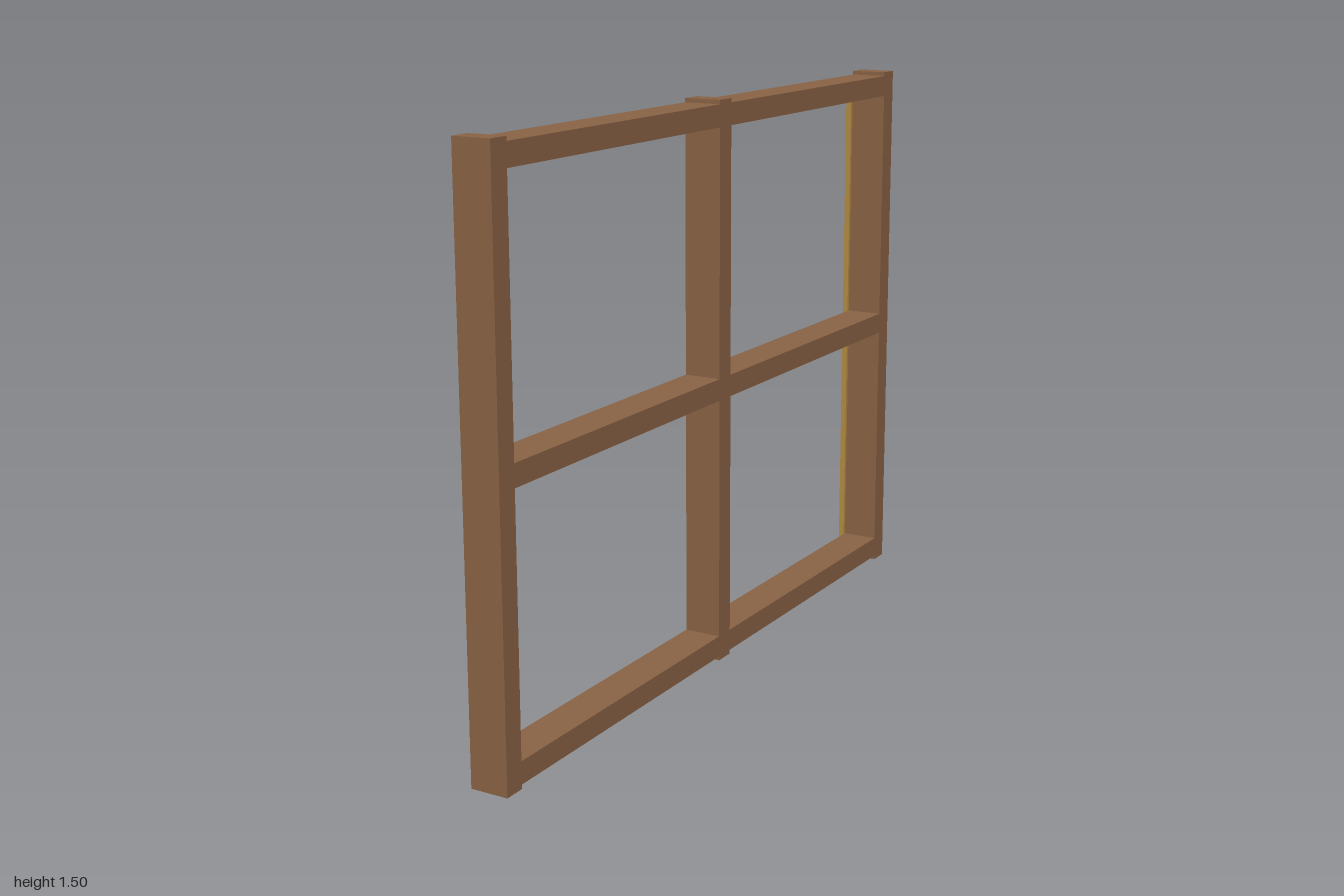
import * as THREE from 'three';

export function createModel() {
  const model = new THREE.Group();
  model.name = 'windowFrame';
  const wood = new THREE.MeshStandardMaterial({ name: 'brown wood', color: 0x8b6445 });
  const gold = new THREE.MeshStandardMaterial({ name: 'golden trim', color: 0xb58c45 });

  // Box given by its lower and upper corners
  function box(name, material, [x0, y0, z0], [x1, y1, z1]) {
    const mesh = new THREE.Mesh(new THREE.BoxGeometry(x1 - x0, y1 - y0, z1 - z0), material);
    mesh.position.set((x0 + x1) / 2, (y0 + y1) / 2, (z0 + z1) / 2);
    mesh.name = name;
    model.add(mesh);
  }

  const back = -0.044, front = 0.058; // depth of the timber along x
  const height = 1.504, half = 0.029; // post height, half of the timber width

  // Three upright posts
  for (const [name, z] of [['frontPost', 1 - half], ['middlePost', 0], ['rearPost', half - 1]]) {
    box(name, wood, [back, 0, z - half], [front, height, z + half]);
  }

  // Three rails, each in two lengths fitted between the posts
  for (const [name, y] of [['bottomRail', 0.04], ['middleRail', height / 2], ['topRail', height - 0.04]]) {
    box(name + 'Front', wood, [back, y - half, half], [front, y + half, 1 - 2 * half]);
    box(name + 'Rear', wood, [back, y - half, 2 * half - 1], [front, y + half, -half]);
  }

  // Thin trim strips along the inner edges of the outer posts
  box('frontTrim', gold, [-0.06, 0.062, 0.932], [back, 1.442, 0.944]);
  box('rearTrim', gold, [-0.06, 0.062, -0.944], [back, 1.442, -0.932]);

  return model;
}
